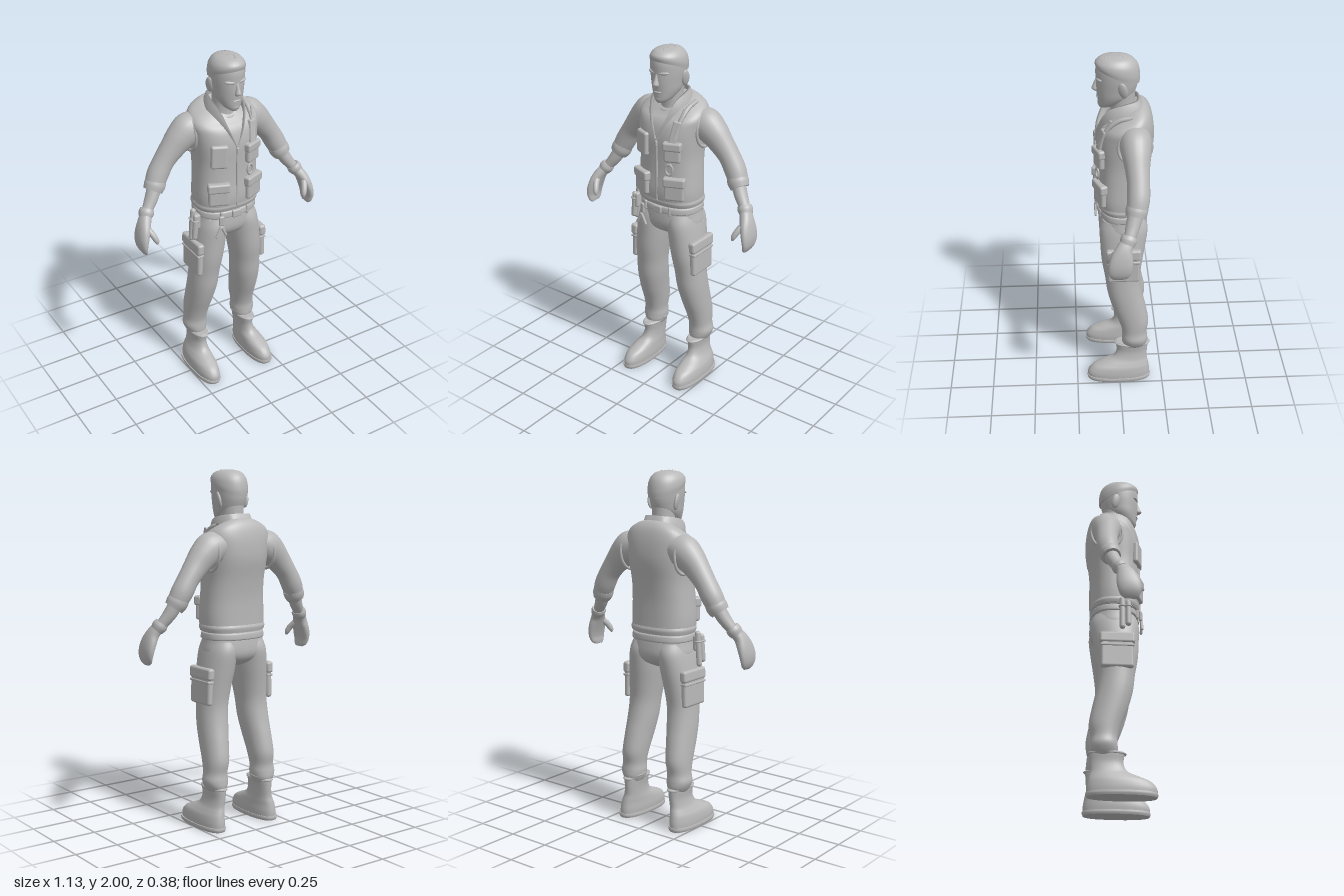
import * as THREE from 'three';
import { RoundedBoxGeometry } from 'three/addons/geometries/RoundedBoxGeometry.js';

const gray = new THREE.MeshStandardMaterial({ color: 0xb8b8b8 });
gray.name = 'plainGray';
gray.side = THREE.DoubleSide;

// Smooth skin over sections [x, y, z, rx, rz, tilt]; rings are level, or follow the path.
function loft(sections, { n = 2, follow = false, seg = 32, sub = 5 } = {}) {
  const rows = [], last = sections.length - 1;
  const at = (i, k) => sections[Math.min(last, Math.max(0, i))][k] || 0;
  for (let q = 0; q <= last * sub; q++) {
    const i = Math.min(last - 1, Math.floor(q / sub)), t = q / sub - i;
    rows.push([0, 1, 2, 3, 4, 5].map((k) => {
      const a = at(i - 1, k), b = at(i, k), c = at(i + 1, k), d = at(i + 2, k);
      return b + 0.5 * t * (c - a + t * (2 * a - 5 * b + 4 * c - d + t * (3 * (b - c) + d - a)));
    }));
  }
  const centre = (r) => new THREE.Vector3(r[0], r[1], r[2]);
  const pos = [], idx = [], sp = (v) => Math.sign(v) * Math.abs(v) ** (2 / n);
  rows.forEach((r, i) => {
    const t = follow
      ? centre(rows[Math.min(i + 1, rows.length - 1)]).sub(centre(rows[Math.max(i - 1, 0)])).normalize()
      : new THREE.Vector3(0, 1, 0);
    const u = new THREE.Vector3(0, 0, 1);
    u.addScaledVector(t, -u.dot(t)).normalize();
    const v = t.clone().cross(u);
    for (let j = 0; j < seg; j++) {
      const a = (j / seg) * Math.PI * 2, w = r[4] * sp(Math.sin(a));
      const p = centre(r).addScaledVector(v, r[3] * sp(Math.cos(a))).addScaledVector(u, w);
      pos.push(p.x, p.y + r[5] * w, p.z);
    }
  });
  for (let i = 0; i < rows.length - 1; i++) for (let j = 0; j < seg; j++) {
    const a = i * seg + j, b = i * seg + (j + 1) % seg;
    idx.push(a, a + seg, b, b, a + seg, b + seg);
  }
  // end caps on their own vertices, so their rims stay sharp
  for (const e of [0, rows.length - 1]) {
    const base = pos.length / 3;
    pos.push(...pos.slice(e * seg * 3, (e + 1) * seg * 3), rows[e][0], rows[e][1], rows[e][2]);
    for (let j = 0; j < seg; j++) {
      const a = base + j, b = base + (j + 1) % seg;
      idx.push(...(e ? [b, a, base + seg] : [a, b, base + seg]));
    }
  }
  const g = new THREE.BufferGeometry();
  g.setAttribute('position', new THREE.Float32BufferAttribute(pos, 3));
  g.setIndex(idx);
  g.computeVertexNormals();
  return g;
}

// Stand-up band with thickness, running between a lower and an upper curve.
function band(lower, upper, inset, steps = 60) {
  const L = new THREE.CatmullRomCurve3(lower), U = new THREE.CatmullRomCurve3(upper);
  const pos = [], idx = [];
  for (let i = 0; i <= steps; i++) {
    const l = L.getPoint(i / steps), u = U.getPoint(i / steps);
    const inward = (p) => p.clone().add(new THREE.Vector3(-p.x, 0, -0.03 - p.z).normalize().multiplyScalar(inset));
    for (const p of [l, u, inward(u), inward(l)]) pos.push(p.x, p.y, p.z);
  }
  for (let i = 0; i < steps; i++) for (let k = 0; k < 3; k++) {
    const a = i * 4 + k;
    idx.push(a, a + 1, a + 4, a + 1, a + 5, a + 4);
  }
  const g = new THREE.BufferGeometry();
  g.setAttribute('position', new THREE.Float32BufferAttribute(pos, 3));
  g.setIndex(idx);
  g.computeVertexNormals();
  return g;
}

export function createModel() {
  const model = new THREE.Group();
  model.name = 'standingMan';
  const add = (name, geo, p = [0, 0, 0], r = [0, 0, 0], parent = model, s = [1, 1, 1]) => {
    const m = new THREE.Mesh(geo, gray);
    m.name = name;
    m.position.set(...p);
    m.rotation.set(...r);
    m.scale.set(...s);
    parent.add(m);
    return m;
  };
  const box = (w, h, d, r = 0.008) => new RoundedBoxGeometry(w, h, d, 3, Math.min(r, w / 2.1, h / 2.1, d / 2.1));
  const ball = new THREE.SphereGeometry(1, 20, 14);

  // Head, hair and neck
  add('head', loft([[0, 1.705, 0.07, 0.022, 0.03], [0, 1.725, 0.05, 0.048, 0.056], [0, 1.77, 0.018, 0.073, 0.092],
    [0, 1.82, 0.008, 0.083, 0.107], [0, 1.87, 0.005, 0.09, 0.111], [0, 1.92, 0.003, 0.091, 0.114],
    [0, 1.96, 0.005, 0.08, 0.1], [0, 1.985, 0.01, 0.055, 0.07], [0, 1.992, 0.01, 0.02, 0.03]]));
  add('hair', loft([[0, 1.89, 0.001, 0.092, 0.115, 0.38], [0, 1.92, 0.002, 0.095, 0.118, 0.28],
    [0, 1.955, 0.004, 0.087, 0.109, 0.12], [0, 1.983, 0.008, 0.062, 0.08, 0.03], [0, 1.994, 0.01, 0.02, 0.03]]));
  for (let i = 0; i < 5; i++) {
    add('hairTuft', new THREE.ConeGeometry(0.012, 0.028, 8), [0.012 + 0.018 * Math.sin(i * 2.3), 1.986, 0.065 - i * 0.025],
      [0.5, 0, 0.5 * Math.sin(i * 1.7)]);
  }
  add('neck', loft([[0, 1.58, -0.03, 0.085, 0.08], [0, 1.66, -0.03, 0.07, 0.068], [0, 1.72, -0.025, 0.062, 0.066],
    [0, 1.8, -0.02, 0.066, 0.072]]));
  add('nose', loft([[0, 1.798, 0.115, 0.012, 0.008], [0, 1.81, 0.118, 0.017, 0.021], [0, 1.835, 0.114, 0.011, 0.016],
    [0, 1.868, 0.108, 0.008, 0.008]], { seg: 16 }));
  add('mouth', ball, [0, 1.766, 0.106], [0, 0, 0], model, [0.024, 0.006, 0.009]);
  add('chin', ball, [0, 1.728, 0.088], [0, 0, 0], model, [0.026, 0.02, 0.02]);
  for (const s of [-1, 1]) {
    add('brow', ball, [s * 0.036, 1.873, 0.1], [0, s * 0.35, s * 0.08], model, [0.03, 0.009, 0.013]);
    add('eye', ball, [s * 0.035, 1.85, 0.096], [0, s * 0.35, 0], model, [0.016, 0.008, 0.008]);
    add('ear', ball, [s * 0.088, 1.83, -0.022], [0.15, s * -0.3, s * -0.12], model, [0.012, 0.046, 0.025]);
  }

  // Vest
  add('vest', loft([[0, 1.11, -0.027, 0.178, 0.126], [0, 1.13, -0.022, 0.184, 0.134], [0, 1.2, -0.018, 0.187, 0.138],
    [0, 1.3, -0.022, 0.181, 0.136], [0, 1.4, -0.028, 0.177, 0.142], [0, 1.5, -0.036, 0.185, 0.153],
    [0, 1.57, -0.043, 0.193, 0.149, 0], [0, 1.625, -0.049, 0.197, 0.136, -0.12], [0, 1.665, -0.053, 0.174, 0.115, -0.28],
    [0, 1.695, -0.05, 0.115, 0.088, -0.4], [0, 1.705, -0.048, 0.07, 0.065, -0.4]], { n: 2.5, seg: 48 }));
  add('vestHem', loft([[0, 1.115, -0.025, 0.185, 0.134], [0, 1.135, -0.023, 0.19, 0.139], [0, 1.15, -0.021, 0.186, 0.136]],
    { n: 2.5, seg: 48 }));
  const around = (half) => {
    const pts = half.map((p) => new THREE.Vector3(...p));
    return [...pts, ...half.slice(0, -1).reverse().map(([x, y, z]) => new THREE.Vector3(-x, y, z))];
  };
  add('vestCollar', band(
    around([[0.004, 1.49, 0.117], [0.05, 1.59, 0.098], [0.095, 1.665, 0.04], [0.105, 1.69, -0.04], [0.07, 1.7, -0.125], [0, 1.7, -0.135]]),
    around([[0.004, 1.51, 0.126], [0.046, 1.61, 0.112], [0.083, 1.715, 0.052], [0.092, 1.745, -0.03], [0.065, 1.755, -0.1], [0, 1.758, -0.115]]),
    0.014));
  add('shirtCollar', new THREE.TorusGeometry(0.066, 0.01, 10, 32), [0, 1.665, -0.022], [Math.PI / 2 + 0.3, 0, 0]);
  add('zipper', box(0.012, 0.36, 0.012), [0, 1.32, 0.116]);
  add('zipperPull', box(0.014, 0.035, 0.012), [0, 1.48, 0.122]);

  // Vest pockets
  const pocket = (name, x, y, z, w, h, flap, turn, lean = 0) => {
    const g = new THREE.Group();
    g.name = name;
    g.position.set(x, y, z);
    g.rotation.set(0, turn, lean);
    add('pouch', box(w, h, 0.036, 0.014), [0, 0, 0], [0, 0, 0], g);
    if (flap) add('flap', box(w + 0.01, flap, 0.046, 0.012), [0, h / 2 - flap / 2 + 0.006, 0.002], [0, 0, 0], g);
    model.add(g);
  };
  for (const s of [-1, 1]) pocket('waistPocket', s * 0.108, 1.23, 0.101, 0.115, 0.13, 0.055, s * 0.38);
  pocket('rightChestPocket', -0.103, 1.46, 0.1, 0.095, 0.135, 0, -0.38, -0.03);
  pocket('leftChestPocket', 0.098, 1.445, 0.105, 0.095, 0.11, 0.05, 0.38);
  add('radio', box(0.045, 0.13, 0.03), [0.105, 1.555, 0.09], [-0.2, 0.35, -0.12]);
  add('radioAerial', new THREE.CylinderGeometry(0.007, 0.007, 0.1, 10), [0.125, 1.635, 0.065], [-0.45, 0, -0.12]);
  add('shoulderStrap', new THREE.TubeGeometry(new THREE.CatmullRomCurve3([[0.11, 1.53, 0.1], [0.122, 1.62, 0.065],
    [0.128, 1.677, 0.0], [0.13, 1.694, -0.07]].map((p) => new THREE.Vector3(...p))), 20, 0.013, 8));
  add('clipRing', new THREE.TorusGeometry(0.02, 0.006, 8, 20), [0.083, 1.345, 0.115], [0, 0.3, 0], model, [1, 1.5, 1]);
  add('clipStrap', box(0.016, 0.04, 0.012), [0.083, 1.385, 0.113], [0, 0.3, 0]);

  // Sleeves, forearms and gloves
  for (const s of [-1, 1]) {
    const limb = (rows, n) => loft(rows.map(([x, ...r]) => [s * x, ...r]), { follow: true, seg: 24, n });
    add('armholeTrim', new THREE.TorusGeometry(0.088, 0.008, 8, 36), [s * 0.188, 1.55, -0.08], [0, Math.PI / 2, s * -0.1],
      model, [1, 1.14, 1]);
    add('sleeve', limb([[0.13, 1.59, -0.083, 0.075, 0.08], [0.185, 1.572, -0.084, 0.092, 0.085], [0.235, 1.535, -0.085, 0.082, 0.078],
      [0.285, 1.482, -0.087, 0.069, 0.066], [0.335, 1.42, -0.09, 0.059, 0.06], [0.375, 1.353, -0.088, 0.06, 0.06],
      [0.4, 1.305, -0.08, 0.055, 0.056], [0.418, 1.272, -0.07, 0.05, 0.05]]));
    add('sleeveCuff', limb([[0.39, 1.318, -0.083, 0.056, 0.057], [0.404, 1.293, -0.077, 0.059, 0.059],
      [0.42, 1.267, -0.07, 0.052, 0.052]]));
    add('forearm', limb([[0.395, 1.31, -0.08, 0.04, 0.042], [0.435, 1.235, -0.058, 0.036, 0.039], [0.47, 1.185, -0.04, 0.03, 0.032],
      [0.5, 1.14, -0.02, 0.028, 0.03]]));
    add('gloveCuff', limb([[0.473, 1.187, -0.038, 0.036, 0.04], [0.484, 1.17, -0.031, 0.041, 0.044], [0.497, 1.15, -0.022, 0.034, 0.039]]));
    add('gloveHand', limb([[0.487, 1.165, -0.028, 0.03, 0.034], [0.51, 1.13, -0.008, 0.031, 0.044], [0.527, 1.09, 0.004, 0.03, 0.058],
      [0.54, 1.045, 0.012, 0.026, 0.064], [0.544, 1.005, 0.017, 0.02, 0.06], [0.538, 0.975, 0.02, 0.014, 0.048],
      [0.532, 0.96, 0.02, 0.007, 0.03]], 2.3));
    add('thumb', limb([[0.512, 1.11, 0.025, 0.018, 0.02], [0.494, 1.075, 0.058, 0.017, 0.018], [0.482, 1.045, 0.074, 0.014, 0.015],
      [0.478, 1.026, 0.078, 0.006, 0.006]]));
  }

  // Trousers and belt
  add('trouserSeat', loft([[0, 0.915, -0.03, 0.05, 0.05], [0, 0.945, -0.03, 0.135, 0.105], [0, 0.99, -0.03, 0.185, 0.132],
    [0, 1.06, -0.028, 0.178, 0.132], [0, 1.12, -0.027, 0.17, 0.122]], { n: 2.3, seg: 40 }));
  add('belt', loft([[0, 1.068, -0.027, 0.178, 0.132], [0, 1.075, -0.027, 0.183, 0.137], [0, 1.1, -0.027, 0.181, 0.135],
    [0, 1.107, -0.027, 0.176, 0.13]], { n: 2.4, seg: 40 }));
  add('beltBuckle', box(0.055, 0.045, 0.02), [0, 1.088, 0.109]);
  for (const x of [-0.09, 0.075]) add('beltLoop', box(0.016, 0.055, 0.018), [x, 1.088, 0.1], [0, x * 3, 0]);

  for (const s of [-1, 1]) {
    const side = (rows) => rows.map(([x, ...r]) => [s * x, ...r]);
    add('trouserLeg', loft(side([[0.16, 0.22, -0.088, 0.045, 0.06], [0.163, 0.25, -0.09, 0.061, 0.074], [0.166, 0.285, -0.09, 0.069, 0.074],
      [0.163, 0.33, -0.088, 0.064, 0.072], [0.158, 0.4, -0.083, 0.069, 0.086], [0.151, 0.5, -0.056, 0.075, 0.096],
      [0.143, 0.6, -0.032, 0.081, 0.099], [0.136, 0.7, -0.02, 0.083, 0.1], [0.126, 0.8, -0.017, 0.089, 0.114],
      [0.113, 0.9, -0.022, 0.092, 0.126], [0.1, 1.0, -0.027, 0.088, 0.134], [0.09, 1.06, -0.027, 0.08, 0.118]]), { n: 2.15 }));
    add('trouserFold', new THREE.TorusGeometry(0.06, 0.008, 8, 28), [s * 0.164, 0.268, -0.09], [Math.PI / 2 - 0.12, s * 0.12, 0],
      model, [1, 1.12, 1]);
    add('thighPocket', box(0.035, 0.19, 0.18, 0.015), [s * 0.205, 0.805, -0.022], [0, 0, s * 0.03]);
    add('thighPocketFlap', box(0.042, 0.065, 0.195, 0.014), [s * 0.204, 0.885, -0.022], [0, 0, s * 0.06]);
    add('thighPocketBand', box(0.04, 0.014, 0.184, 0.005), [s * 0.206, 0.84, -0.022]);

    // Boots
    add('boot', loft(side([[0.182, 0.02, 0.005, 0.065, 0.183], [0.181, 0.05, 0.004, 0.066, 0.182], [0.179, 0.085, -0.008, 0.062, 0.165],
      [0.174, 0.11, -0.032, 0.055, 0.136], [0.168, 0.14, -0.062, 0.046, 0.1], [0.163, 0.185, -0.075, 0.042, 0.09],
      [0.162, 0.235, -0.074, 0.047, 0.094], [0.162, 0.247, -0.074, 0.044, 0.091]]), { n: 2.25 }));
    add('bootSole', loft(side([[0.183, 0, 0.004, 0.066, 0.182], [0.183, 0.012, 0.004, 0.07, 0.187], [0.183, 0.024, 0.004, 0.069, 0.186]]),
      { n: 2.4 }));
    add('bootTopRim', new THREE.TorusGeometry(0.046, 0.007, 8, 28), [s * 0.162, 0.238, -0.074], [Math.PI / 2, 0, 0], model, [1, 2, 1]);
  }

  // Tools hanging on the right hip
  add('toolHolster', box(0.03, 0.09, 0.06, 0.012), [-0.205, 1.06, 0.02]);
  for (const [z, y, h] of [[0.005, 1.03, 0.2], [0.038, 1.03, 0.16]]) {
    add('toolHandle', new THREE.CapsuleGeometry(0.016, h - 0.032, 6, 14), [-0.222, y, z], [0, 0, -0.08]);
    add('toolRing', new THREE.TorusGeometry(0.017, 0.005, 8, 18), [-0.221, y + 0.04, z], [Math.PI / 2, 0, 0]);
  }
  add('pliersHead', box(0.03, 0.06, 0.016), [-0.1, 1.07, 0.118], [0, -0.3, 0]);
  for (const s of [-1, 1]) {
    add('pliersHandle', new THREE.CapsuleGeometry(0.008, 0.06, 4, 10), [-0.105 + s * 0.016, 1.005, 0.122], [0, 0, s * 0.45]);
  }
  return model;
}
